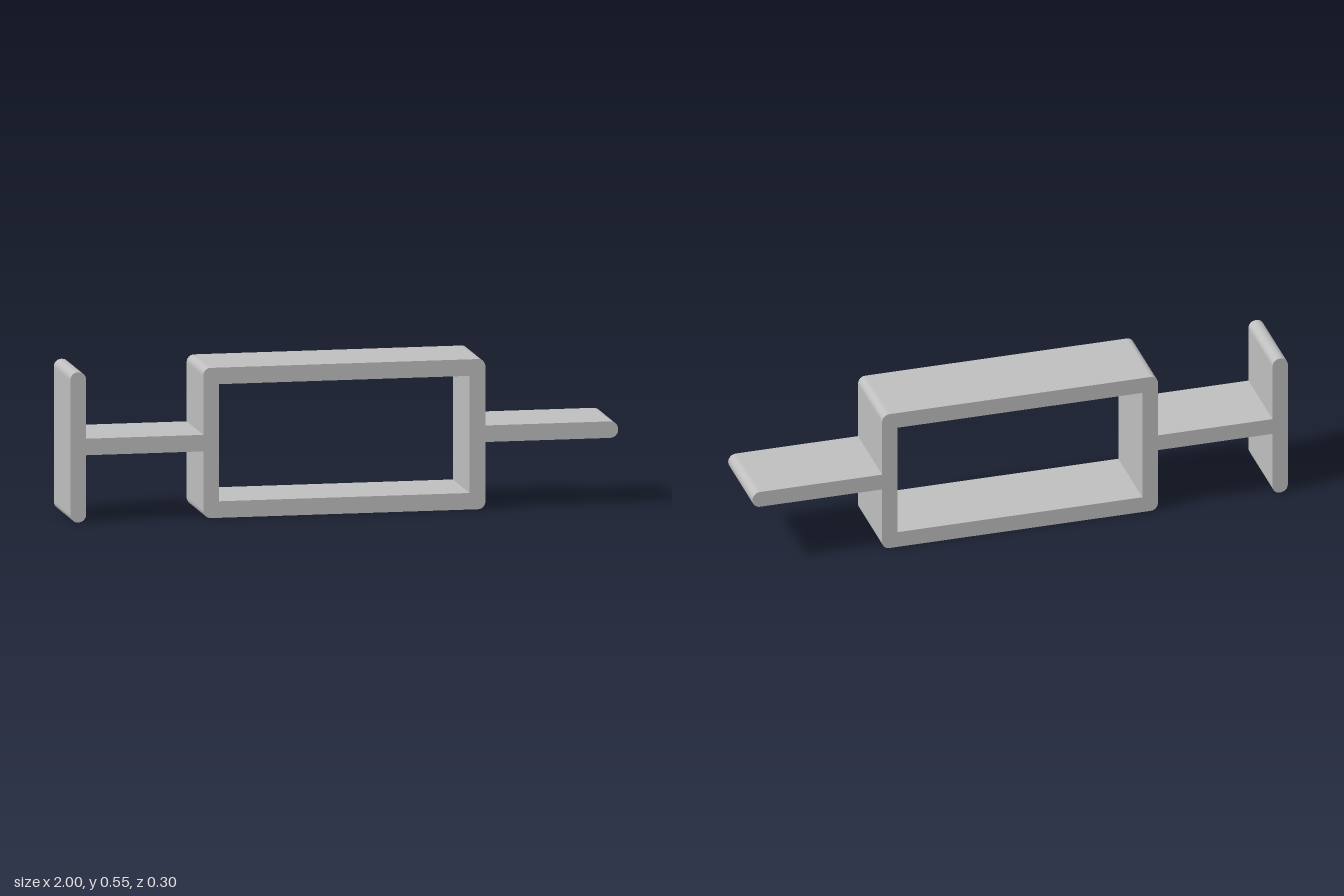
import * as THREE from 'three';

const DEPTH = 0.302;

// Rectangle outline whose left and right corners have their own radii
function roundedRect(x0, y0, x1, y1, rLeft, rRight) {
  const s = new THREE.Shape();
  const corner = (cx, cy, r, start) => {
    if (r > 0) s.absarc(cx, cy, r, start, start + Math.PI / 2, false);
    else s.lineTo(cx, cy);
  };
  s.moveTo(x0 + rLeft, y0);
  corner(x1 - rRight, y0 + rRight, rRight, -Math.PI / 2);
  corner(x1 - rRight, y1 - rRight, rRight, 0);
  corner(x0 + rLeft, y1 - rLeft, rLeft, Math.PI / 2);
  corner(x0 + rLeft, y0 + rLeft, rLeft, Math.PI);
  s.closePath();
  return s;
}

export function createModel() {
  const group = new THREE.Group();
  const grey = new THREE.MeshStandardMaterial({ color: 0xbfbfbf });
  grey.name = 'plainGrey';

  const addPart = (name, shape) => {
    const geometry = new THREE.ExtrudeGeometry(shape, {
      depth: DEPTH, bevelEnabled: false, curveSegments: 3,
    });
    geometry.translate(0, 0, -DEPTH / 2);
    const mesh = new THREE.Mesh(geometry, grey);
    mesh.name = name;
    group.add(mesh);
  };

  // Rectangular frame with a square-cornered opening
  const frame = roundedRect(-0.515, 0, 0.515, 0.545, 0.027, 0.027);
  frame.holes.push(new THREE.Path([
    new THREE.Vector2(-0.457, 0.06),
    new THREE.Vector2(-0.457, 0.485),
    new THREE.Vector2(0.457, 0.485),
    new THREE.Vector2(0.457, 0.06),
  ]));
  addPart('frame', frame);

  // Upright end plate with rounded top and bottom edges
  addPart('endPlate', roundedRect(-1, 0, -0.943, 0.545, 0.027, 0.027));

  // Stem joining the plate to the frame
  addPart('stem', roundedRect(-0.943, 0.243, -0.515, 0.303, 0, 0));

  // Free tongue with a rounded tip
  addPart('tongue', roundedRect(0.515, 0.243, 1, 0.303, 0, 0.029));

  return group;
}
